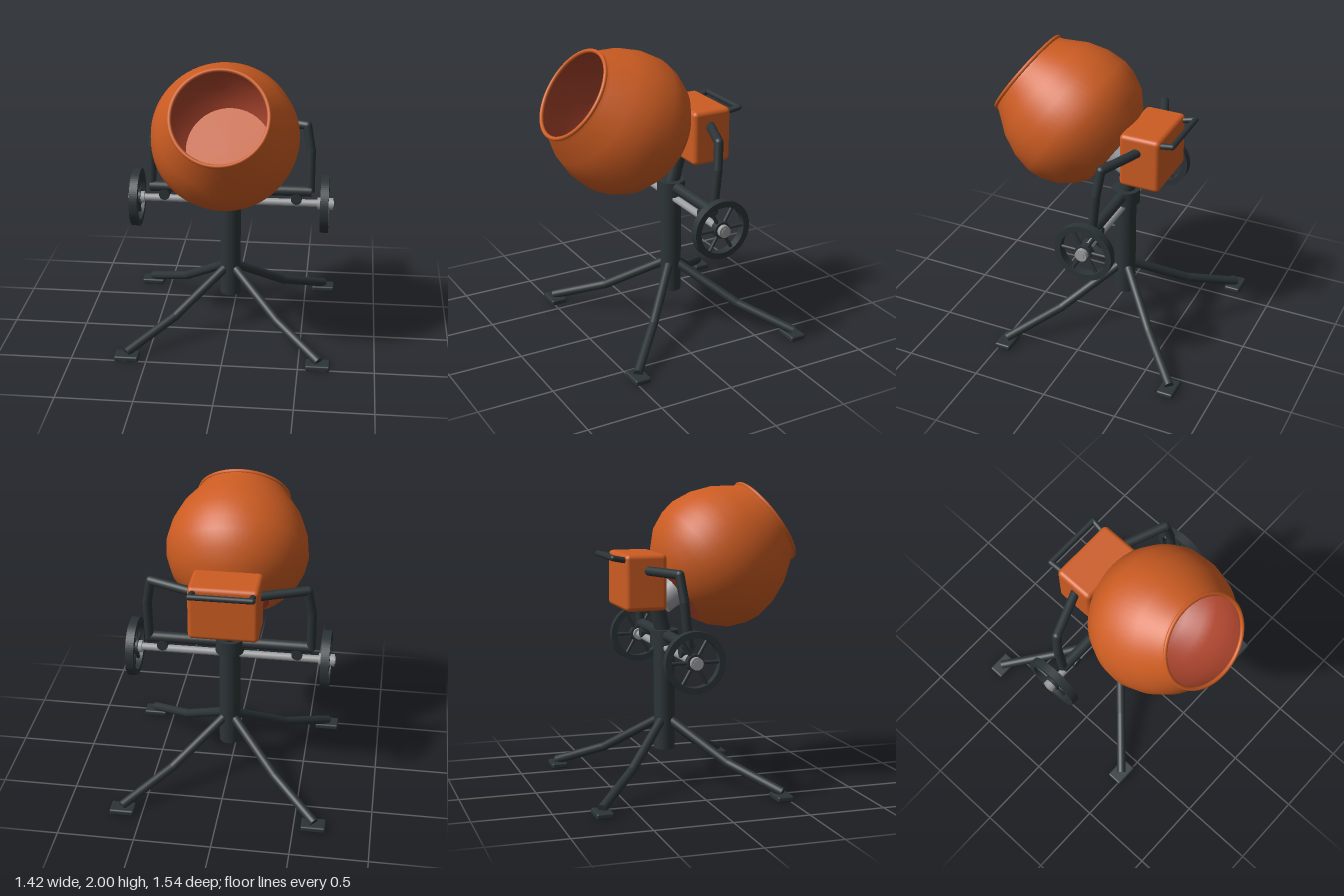
import * as THREE from 'three';
import { RoundedBoxGeometry } from 'three/addons/geometries/RoundedBoxGeometry.js';

const V = (x, y, z) => new THREE.Vector3(x, y, z);
const mat = (color) => new THREE.MeshStandardMaterial({ color });
const orange = mat(0xcc5c22), liner = mat(0xa8432c), dark = mat(0x2c3437), silver = mat(0x9a9d9f);

function add(parent, name, geometry, material, x = 0, y = 0, z = 0) {
  const mesh = new THREE.Mesh(geometry, material);
  mesh.name = name;
  mesh.position.set(x, y, z);
  parent.add(mesh);
  return mesh;
}

// Round bar between two points
function rod(parent, name, a, b, radius, material = dark, sides = 20) {
  const mesh = add(parent, name, new THREE.CylinderGeometry(radius, radius, a.distanceTo(b), sides), material);
  mesh.position.copy(a).add(b).multiplyScalar(0.5);
  mesh.quaternion.setFromUnitVectors(V(0, 1, 0), b.clone().sub(a).normalize());
  return mesh;
}

// Bent pipe: straight rods with a ball at each bend
function pipe(parent, name, points, radius) {
  const group = new THREE.Group();
  group.name = name;
  points.forEach((p, i) => {
    if (i > 0) rod(group, name + 'Section', points[i - 1], p, radius);
    if (i > 0 && i < points.length - 1) {
      add(group, name + 'Bend', new THREE.SphereGeometry(radius, 20, 12), dark, p.x, p.y, p.z);
    }
  });
  parent.add(group);
}

// Mixing drum, built upright then tilted forward
function makeDrum() {
  const drum = new THREE.Group();
  drum.name = 'drum';
  const outline = [[0.25, 0], [0.325, 0.05], [0.41, 0.14], [0.458, 0.25], [0.473, 0.34],
    [0.455, 0.47], [0.405, 0.6], [0.315, 0.735], [0.303, 0.765]];
  const outer = outline.map(([r, y]) => new THREE.Vector2(r, y));
  const inner = outline.map(([r, y]) => new THREE.Vector2(r - 0.012, y + 0.008)).reverse();
  add(drum, 'drumShell', new THREE.LatheGeometry(outer, 64), orange);
  add(drum, 'drumLining', new THREE.LatheGeometry(inner, 64), liner);
  add(drum, 'drumBack', new THREE.CircleGeometry(0.25, 48).rotateX(Math.PI / 2), liner);
  add(drum, 'drumFloor', new THREE.CircleGeometry(0.285, 48).rotateX(-Math.PI / 2), orange, 0, 0.04);
  add(drum, 'drumRim', new THREE.TorusGeometry(0.302, 0.013, 12, 64).rotateX(Math.PI / 2), orange, 0, 0.768);
  add(drum, 'driveShaft', new THREE.CylinderGeometry(0.093, 0.093, 0.13, 32), silver, 0, -0.055);
  drum.position.set(0, 1.297, -0.05);
  drum.rotation.x = THREE.MathUtils.degToRad(55);
  return drum;
}

// Spoked wheel with its axis along x
function makeWheel() {
  const wheel = new THREE.Group();
  wheel.name = 'wheel';
  const ring = new THREE.Shape().absarc(0, 0, 0.195, 0, Math.PI * 2);
  ring.holes.push(new THREE.Path().absarc(0, 0, 0.155, 0, Math.PI * 2, true));
  const tyre = new THREE.ExtrudeGeometry(ring, { depth: 0.055, bevelEnabled: false, curveSegments: 40 });
  add(wheel, 'tyre', tyre.translate(0, 0, -0.0275).rotateY(Math.PI / 2), dark);
  rod(wheel, 'wheelHub', V(-0.025, 0, 0), V(0.025, 0, 0), 0.055, dark, 28);
  rod(wheel, 'hubCap', V(-0.055, 0, 0), V(0.05, 0, 0), 0.04, silver, 28);
  for (let i = 0; i < 6; i++) {
    const a = i * Math.PI / 3;
    rod(wheel, 'spoke', V(0, 0.03 * Math.sin(a), 0.03 * Math.cos(a)),
      V(0, 0.165 * Math.sin(a), 0.165 * Math.cos(a)), 0.012, dark, 10);
  }
  return wheel;
}

export function createModel() {
  const model = new THREE.Group();
  model.name = 'concreteMixer';
  const pz = -0.125; // depth of the post

  model.add(makeDrum());

  // Motor housing and its tilting handle
  add(model, 'motorHousing', new RoundedBoxGeometry(0.45, 0.365, 0.275, 4, 0.03), orange, 0, 1.3725, -0.3075);
  pipe(model, 'handle', [V(-0.185, 1.515, -0.42), V(-0.195, 1.535, -0.52),
    V(0.195, 1.535, -0.52), V(0.185, 1.515, -0.42)], 0.019);

  // Post, collar, neck and crossbar
  rod(model, 'post', V(0, 0.24, pz), V(0, 1, pz), 0.07, dark, 32);
  rod(model, 'postCollar', V(0, 0.94, pz), V(0, 1.04, pz), 0.094, dark, 32);
  rod(model, 'neck', V(0, 1, pz), V(0, 1.23, -0.185), 0.052, dark, 24);
  rod(model, 'crossbar', V(-0.545, 1.005, pz), V(0.545, 1.005, pz), 0.036, dark, 24);

  // Axle
  rod(model, 'axle', V(-0.695, 0.92, pz), V(0.695, 0.92, pz), 0.025, silver, 24);

  for (const s of [-1, 1]) {
    // Yoke arms, axle brackets and wheels
    pipe(model, 'yokeArm', [V(s * 0.2, 1.45, -0.3), V(s * 0.505, 1.45, -0.18),
      V(s * 0.535, 1.28, -0.158), V(s * 0.535, 1, -0.13)], 0.03);
    rod(model, 'axleBracket', V(s * 0.445, 0.955, pz - 0.035), V(s * 0.445, 0.955, pz + 0.04), 0.036, dark, 16);
    const wheel = makeWheel();
    wheel.position.set(s * 0.635, 0.92, pz);
    wheel.scale.setScalar(1);
    if (s > 0) wheel.rotation.y = Math.PI;
    model.add(wheel);

    // Splayed legs and foot pads
    for (const t of [-1, 1]) {
      pipe(model, 'leg', [V(s * 0.03, 0.435, pz + t * 0.03), V(s * 0.345, 0.19, pz + t * 0.325),
        V(s * 0.635, 0.047, pz + t * 0.595)], 0.03);
      add(model, 'footPad', new RoundedBoxGeometry(0.16, 0.038, 0.11, 3, 0.012), dark,
        s * 0.63, 0.024, pz + t * 0.59);
    }
  }
  model.traverse((o) => { if (o.name === 'footPad') o.position.y = 0.019; });
  return model;
}
